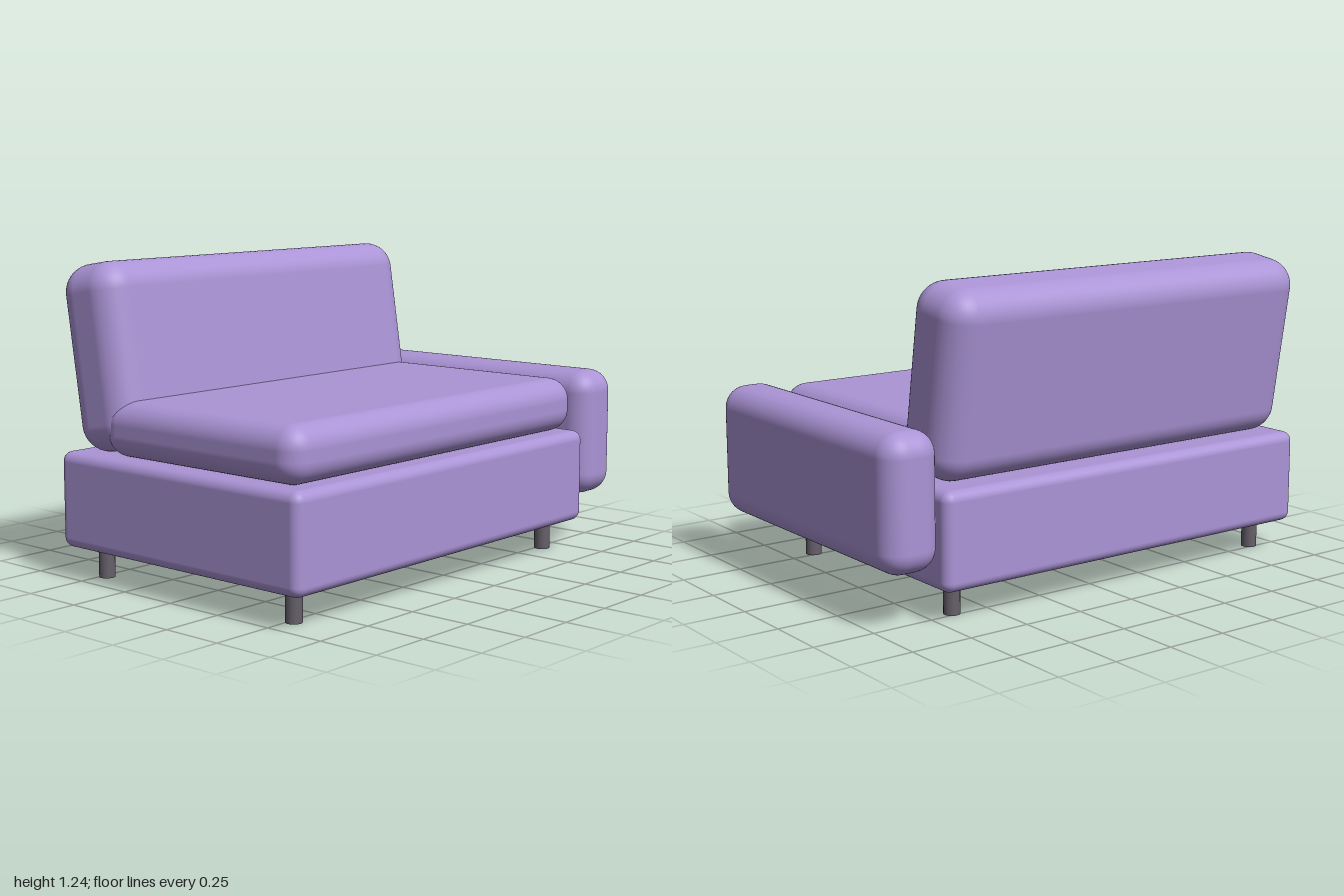
import * as THREE from 'three';
import { RoundedBoxGeometry } from 'three/addons/geometries/RoundedBoxGeometry.js';

const fabric = new THREE.MeshStandardMaterial({ name: 'lilac fabric', color: 0xab94d6 });
const darkMetal = new THREE.MeshStandardMaterial({ name: 'dark leg', color: 0x66606a });

// Soft block spanning the given [min, max] range on each axis
function softBlock(name, [x0, x1], [y0, y1], [z0, z1], radius) {
  const geometry = new RoundedBoxGeometry(x1 - x0, y1 - y0, z1 - z0, 6, radius);
  const mesh = new THREE.Mesh(geometry, fabric);
  mesh.name = name;
  mesh.position.set((x0 + x1) / 2, (y0 + y1) / 2, (z0 + z1) / 2);
  return mesh;
}

export function createModel() {
  const sofa = new THREE.Group();
  sofa.name = 'sofa';

  // Base, seat and single armrest
  sofa.add(
    softBlock('base', [-1, 0.76], [0.12, 0.5], [-0.615, 0.645], 0.04),
    softBlock('seatCushion', [-0.98, 0.74], [0.5, 0.72], [-0.4, 0.615], 0.09),
    softBlock('armrest', [0.765, 1], [0.21, 0.735], [-0.615, 0.645], 0.09),
  );

  // Backrest leaning backwards
  const backrest = softBlock('backrest', [-0.98, 0.74], [0.505, 1.235], [-0.6065, -0.2915], 0.11);
  backrest.rotation.x = -0.157;
  sofa.add(backrest);

  // Four round legs
  const legGeometry = new THREE.CylinderGeometry(0.032, 0.032, 0.13, 20);
  for (const x of [-0.885, 0.645]) {
    for (const z of [-0.48, 0.52]) {
      const leg = new THREE.Mesh(legGeometry, darkMetal);
      leg.name = 'leg';
      leg.position.set(x, 0.065, z);
      sofa.add(leg);
    }
  }
  return sofa;
}
